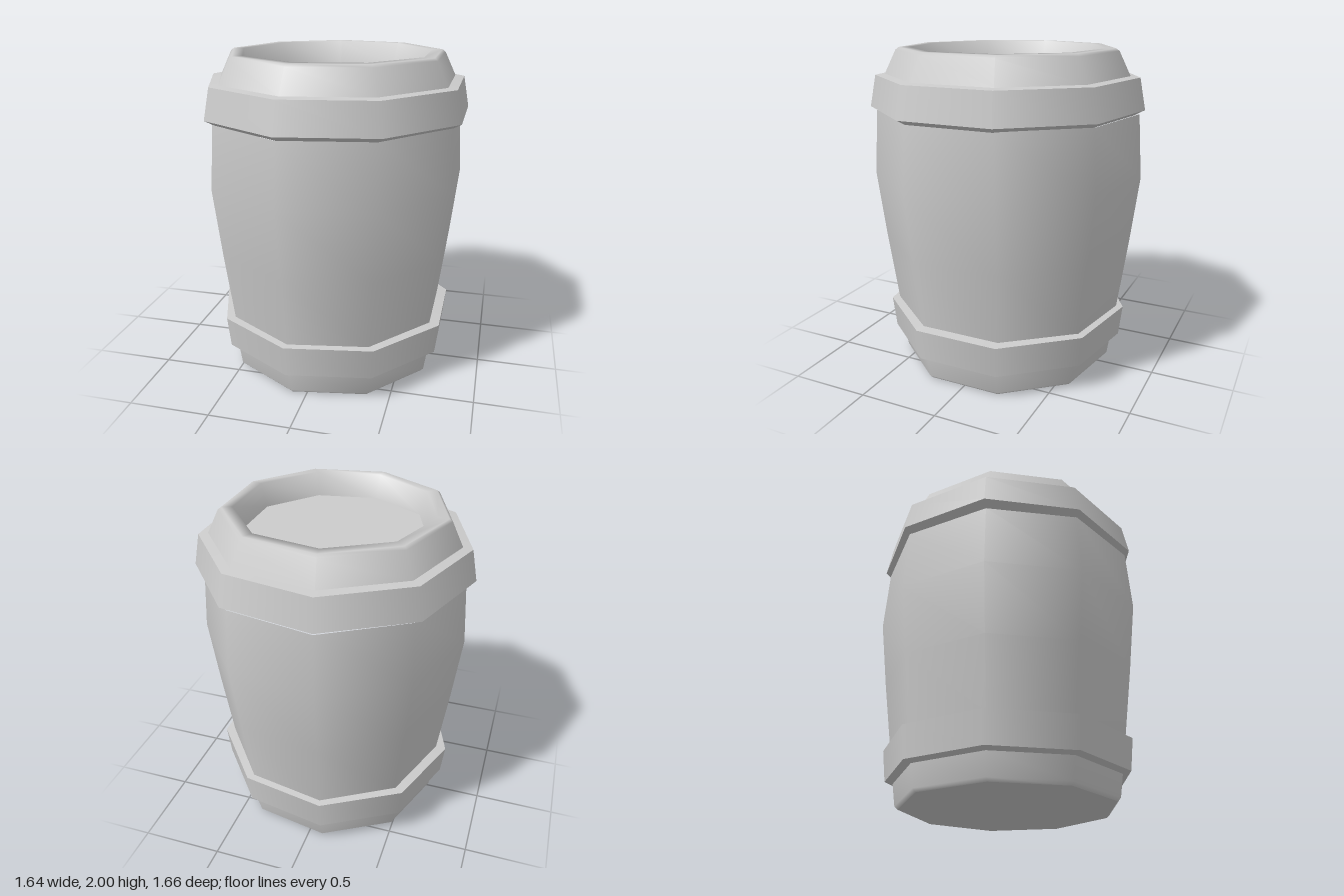
import * as THREE from 'three';

const SIDES = 9;

export function createModel() {
  const group = new THREE.Group();
  const material = new THREE.MeshStandardMaterial({ color: 0xcccccc });

  // Nine-sided ring with a corner on the -x side; profile is [radius, height] from bottom to top.
  function ring(name, profile, scaleX = 1) {
    const points = profile.map(([r, y]) => new THREE.Vector2(r, y));
    const mesh = new THREE.Mesh(new THREE.LatheGeometry(points, SIDES, -Math.PI / 2), material);
    mesh.name = name;
    mesh.position.x = 0.025;
    mesh.scale.x = scaleX;
    group.add(mesh);
  }

  // Foot
  ring('bottomCap', [[0, 0], [0.66, 0]]);
  ring('foot', [[0.66, 0], [0.68, 0.02], [0.7, 0.155]]);

  // Lower band with its ledges
  ring('lowerBandUnderside', [[0.7, 0.155], [0.75, 0.168]]);
  ring('lowerBand', [[0.75, 0.168], [0.772, 0.362]]);
  ring('lowerBandTop', [[0.772, 0.362], [0.7, 0.37]]);

  // Bulging body
  ring('body', [[0.73, 0.365], [0.79, 0.8], [0.842, 1.23], [0.815, 1.62]], 0.97);

  // Upper band with its ledges
  ring('upperBandUnderside', [[0.78, 1.61], [0.845, 1.645]]);
  ring('upperBand', [[0.845, 1.645], [0.808, 1.835]]);
  ring('upperBandTop', [[0.808, 1.835], [0.75, 1.842]]);

  // Shoulder, rounded lip and sunken lid
  ring('rim', [[0.75, 1.842], [0.68, 1.985], [0.66, 2], [0.595, 2], [0.55, 1.86]]);
  ring('lid', [[0.55, 1.86], [0, 1.86]]);

  return group;
}
